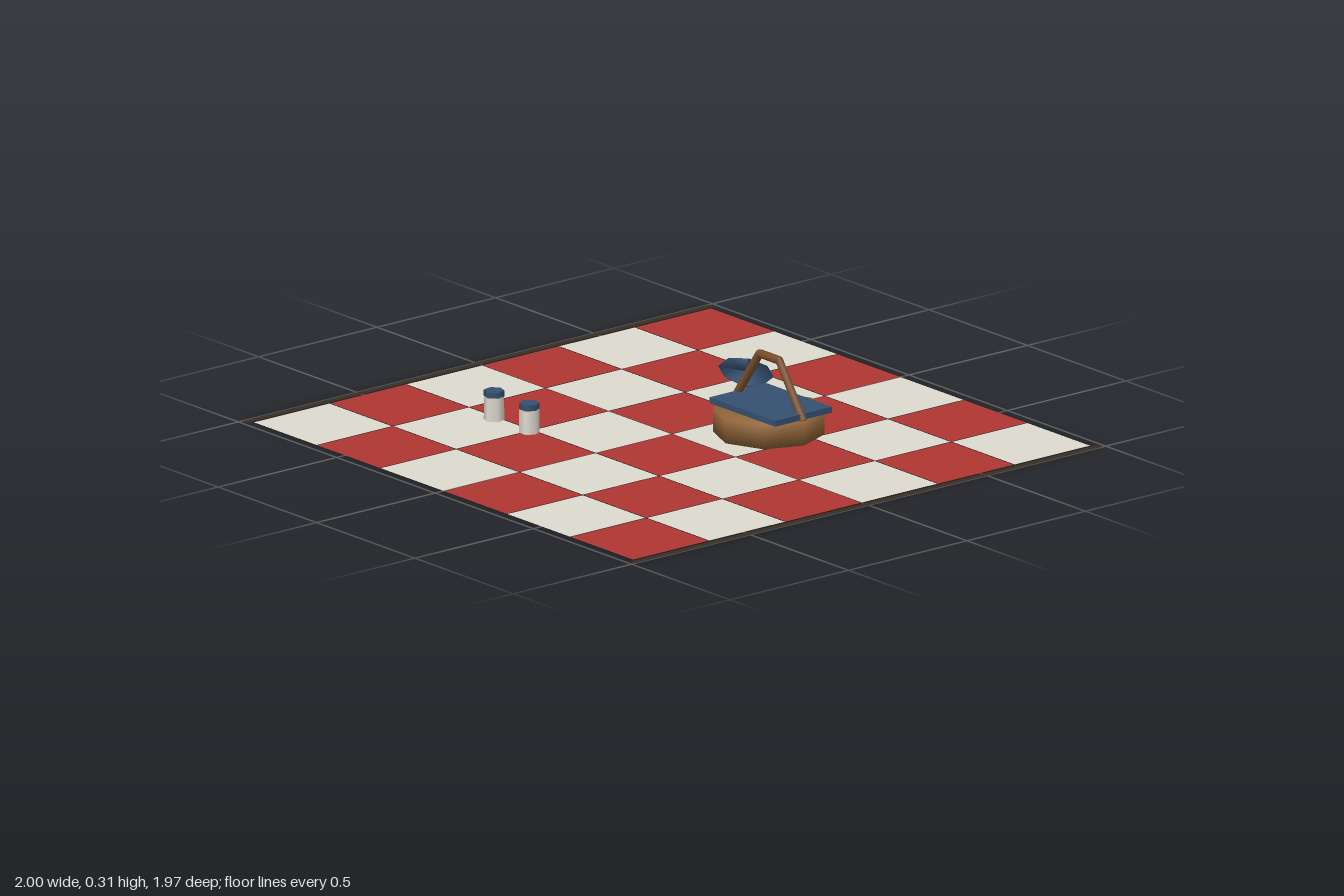
import * as THREE from 'three';
import { mergeVertices } from 'three/addons/utils/BufferGeometryUtils.js';

const material = (color, side = THREE.FrontSide) => new THREE.MeshStandardMaterial({ color, side });

// Weld the corners so the normals run smoothly over the whole low-poly shape.
function welded(geometry) {
  geometry.deleteAttribute('normal');
  geometry.deleteAttribute('uv');
  const g = mergeVertices(geometry, 1e-4);
  g.computeVertexNormals();
  return g;
}

function add(parent, name, geometry, mat, x = 0, y = 0, z = 0) {
  const mesh = new THREE.Mesh(geometry, mat);
  mesh.name = name;
  mesh.position.set(x, y, z);
  parent.add(mesh);
  return mesh;
}

function group(parent, name, x, y, z) {
  const g = new THREE.Group();
  g.name = name;
  g.position.set(x, y, z);
  parent.add(g);
  return g;
}

export function createModel() {
  const model = new THREE.Group();
  model.name = 'picnicBlanketSet';
  const red = material(0xb03632, THREE.DoubleSide);
  const cream = material(0xdedacf, THREE.DoubleSide);
  const fringe = material(0x3b2d22, THREE.DoubleSide);
  const navy = material(0x34506f);
  const wicker = material(0x8f6338);
  const wood = material(0x7a4f2a);
  const white = material(0xdedacf);

  // Checked blanket: flat squares, six by six
  const blanket = group(model, 'blanket', 0, 0, 0);
  const pitch = 0.322;
  const square = new THREE.PlaneGeometry(0.318, 0.318).rotateX(-Math.PI / 2);
  for (let row = 0; row < 6; row++) {
    for (let col = 0; col < 6; col++) {
      const isRed = (row + col) % 2 === 0;
      add(blanket, isRed ? 'redSquare' : 'creamSquare', square, isRed ? red : cream,
        (col - 2.5) * pitch, 0, (row - 2.5) * pitch);
    }
  }

  // Dark hems along both sides
  const hem = new THREE.PlaneGeometry(0.026, 1.97).rotateX(-Math.PI / 2);
  for (const side of [-1, 1]) add(blanket, side > 0 ? 'leftHem' : 'rightHem', hem, fringe, side * 0.987, 0, 0);

  // Basket with a flat lid
  const basket = group(model, 'basket', 0.272, 0, -0.182);
  add(basket, 'basketBody', welded(new THREE.CylinderGeometry(0.182, 0.182, 0.082, 8)), wicker, 0, 0.075, 0);
  add(basket, 'basketLid', new THREE.BoxGeometry(0.333, 0.02, 0.24), navy, 0.004, 0.128, -0.006);

  // Angular handle: straight rods joined at the bends
  const path = [[-0.172, 0.115], [-0.048, 0.292], [0.052, 0.292], [0.174, 0.115]]
    .map(([x, y]) => new THREE.Vector3(x, y, -0.002));
  const up = new THREE.Vector3(0, 1, 0);
  for (let i = 0; i < 3; i++) {
    const along = path[i + 1].clone().sub(path[i]);
    const rod = add(basket, 'handleRod', new THREE.CylinderGeometry(0.014, 0.014, along.length(), 6), wood);
    rod.position.copy(path[i]).addScaledVector(along, 0.5);
    rod.quaternion.setFromUnitVectors(up, along.normalize());
    if (i > 0) add(basket, 'handleBend', new THREE.SphereGeometry(0.014, 6, 4), wood, ...path[i].toArray());
  }

  // Tilted bowl: a flat octagon on a shallow point
  const bowl = new THREE.ConeGeometry(0.091, 0.055, 8).rotateX(Math.PI);
  const p = bowl.attributes.position;
  for (let i = 0; i < p.count; i++) {
    if (p.getY(i) > 0) p.setY(i, 0.074 - 0.25 * p.getX(i));
    else p.setXYZ(i, 0.024, 0.015, 0);
  }
  add(model, 'bowl', welded(bowl), navy, -0.187, 0, -0.467);

  // Salt and pepper shakers
  for (const [name, x, turn] of [['saltShaker', -0.459, 0.2], ['pepperShaker', -0.28, 0.5]]) {
    const shaker = group(model, name, x, 0, 0.37);
    shaker.rotation.y = turn;
    add(shaker, 'shakerBody', new THREE.CylinderGeometry(0.033, 0.034, 0.08, 6), white, 0, 0.053, 0);
    add(shaker, 'shakerCap', new THREE.CylinderGeometry(0.034, 0.034, 0.02, 6), navy, 0, 0.103, 0);
  }
  return model;
}
